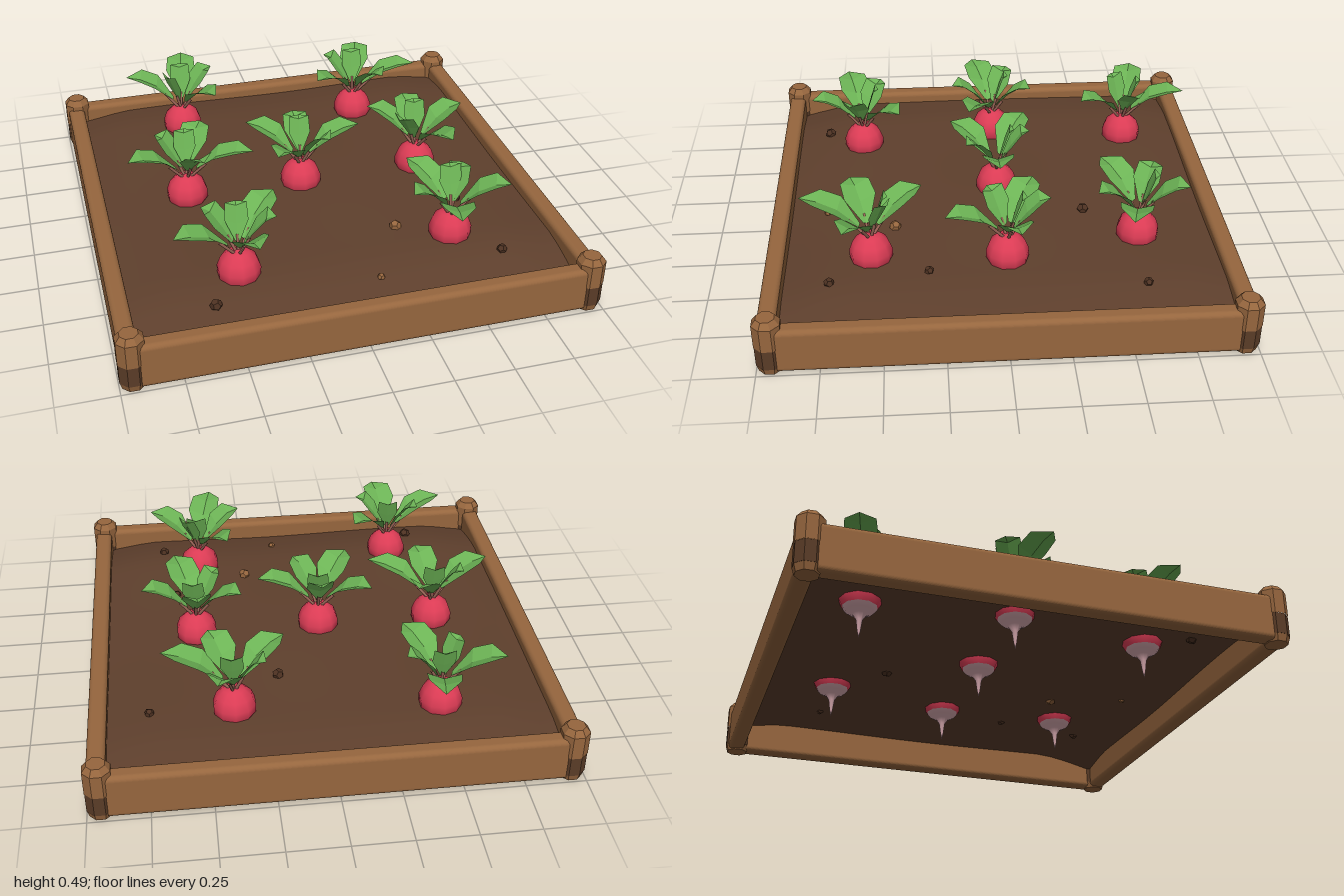
import * as THREE from 'three';

const mat = (name, color, extra = {}) => {
  const m = new THREE.MeshStandardMaterial({ color, ...extra });
  m.name = name;
  return m;
};

// Soil surface: a gentle mound that sinks towards the frame, a little more at the front
const soilHeight = (x, z) => {
  const edge = Math.max(0, Math.abs(x) - 0.72) / 0.2;
  const back = Math.max(0, -z - 0.75) / 0.2;
  const front = Math.max(0, z - 0.62) / 0.3;
  return 0.18 + 0.006 * Math.sin(x * 5 + 1) * Math.cos(z * 4)
    - 0.03 * Math.min(1, edge) - 0.03 * Math.min(1, back) - 0.06 * Math.min(1, front) ** 1.5;
};

// Folded leaf blade reaching from the crown to the tip (dx, dz)
function leafGeometry(dx, dz) {
  const len = Math.hypot(dx, dz);
  const ux = dx / len, uz = dz / len;
  const tipY = 0.44 + 0.06 * Math.max(0, 1 - len / 0.28);
  const w = 0.5 + 0.5 * Math.min(1, len / 0.22);
  const rows = [[0.15, 0.33, 0.015], [0.45, 0.4, 0.07], [0.74, tipY - 0.01, 0.064], [1, tipY, 0]];
  const pos = [], idx = [];
  rows.forEach(([f, y, half], i) => {
    for (const s of [-1, 0, 1]) {
      const h = s * half * w;
      pos.push(ux * len * f - uz * h, y + Math.abs(h) * 0.35, uz * len * f + ux * h);
    }
    if (i) for (const k of [0, 1]) {
      const a = (i - 1) * 3 + k, b = a + 3;
      idx.push(a, a + 1, b, a + 1, b + 1, b);
    }
  });
  const g = new THREE.BufferGeometry();
  g.setAttribute('position', new THREE.Float32BufferAttribute(pos, 3));
  g.setIndex(idx);
  g.computeVertexNormals();
  return g;
}

// Rail with rounded long edges, running along x
function railGeometry(length) {
  const w = 0.038, h = 0.1, r = 0.022;
  const s = new THREE.Shape();
  s.absarc(w - r, h - r, r, 0, Math.PI / 2);
  s.absarc(r - w, h - r, r, Math.PI / 2, Math.PI);
  s.absarc(r - w, r - h, r, Math.PI, Math.PI * 1.5);
  s.absarc(w - r, r - h, r, Math.PI * 1.5, Math.PI * 2);
  s.closePath();
  const g = new THREE.ExtrudeGeometry(s, { depth: length, bevelEnabled: false, curveSegments: 4 });
  return g.translate(0, 0, -length / 2).rotateY(Math.PI / 2);
}

const lathe = (pts, sides) =>
  new THREE.LatheGeometry(pts.map(p => new THREE.Vector2(...p)), sides);

export function createModel() {
  const wood = mat('wood', 0x96663e);
  const facetedWood = wood.clone();
  facetedWood.flatShading = true;
  const darkWood = mat('dark wood', 0x5a3c27, { flatShading: true });
  const soil = mat('soil', 0x5f402d, { side: THREE.DoubleSide });
  const stone = mat('dark clod', 0x4e3222, { flatShading: true });
  const red = mat('radish red', 0xdc3c55);
  const pale = mat('root pink', 0xe0b0b6);
  const stalk = mat('stalk', 0x9c6658);
  const green = mat('leaf green', 0x6cb355, { side: THREE.DoubleSide, flatShading: true });

  const model = new THREE.Group();
  model.name = 'radishBed';
  const add = (parent, name, geo, material, x = 0, y = 0, z = 0) => {
    const m = new THREE.Mesh(geo, material);
    m.name = name;
    m.position.set(x, y, z);
    parent.add(m);
    return m;
  };

  // Four rails around the bed
  const rail = railGeometry(1.83);
  ['frontRail', 'leftRail', 'backRail', 'rightRail'].forEach((name, i) => {
    const a = i * Math.PI / 2;
    add(model, name, rail, wood, Math.sin(a) * 0.952, 0.105, Math.cos(a) * 0.952).rotation.y = a;
  });

  // Eight-sided corner posts with a darker foot
  const R = 0.055 / Math.cos(Math.PI / 8);
  const post = lathe([[R, 0.12], [R, 0.225], [R * 0.65, 0.25], [0, 0.25]], 8).rotateY(Math.PI / 8);
  const foot = lathe([[0, 0.03], [R * 0.97, 0.03], [R * 0.97, 0.12]], 8).rotateY(Math.PI / 8);
  const base = lathe([[0, 0], [R * 0.8, 0], [R * 0.95, 0.03]], 8).rotateY(Math.PI / 8);
  for (const x of [-0.945, 0.945]) for (const z of [-0.945, 0.945]) {
    add(model, 'cornerPost', post, facetedWood, x, 0, z);
    add(model, 'postFoot', foot, darkWood, x, 0, z);
    add(model, 'postBase', base, facetedWood, x, 0, z);
  }

  // Soil sheet
  const ground = new THREE.PlaneGeometry(1.85, 1.85, 24, 24).rotateX(-Math.PI / 2);
  const p = ground.attributes.position;
  for (let i = 0; i < p.count; i++) p.setY(i, soilHeight(p.getX(i), p.getZ(i)));
  ground.computeVertexNormals();
  add(model, 'soil', ground, soil);

  // Clods and pebbles: x, z, radius, light or dark
  [[0.74, -0.58, 0.02, 0], [0.19, -0.38, 0.026, 0], [0.27, 0.45, 0.026, 1], [0.6, 0.31, 0.02, 0],
    [0.65, 0.72, 0.022, 0], [0.11, 0.75, 0.016, 1], [-0.58, 0.77, 0.026, 0]].forEach(([x, z, r, light], i) => {
    add(model, 'clod', new THREE.DodecahedronGeometry(r), light ? facetedWood : stone,
      x, soilHeight(x, z) + r * 0.3, z).rotation.set(i, i * 2, 0);
  });

  // Radishes: position, then leaf tips relative to the crown
  const plants = [
    [-0.46, -0.65, [[0.05, -0.28], [-0.25, -0.07], [0.13, 0.22], [0.16, -0.05], [-0.08, 0.05]]],
    [0.39, -0.59, [[0.07, -0.2], [0.29, 0.07], [0.09, 0.19], [-0.22, 0.14], [-0.13, -0.08]]],
    [-0.55, -0.02, [[0.1, -0.18], [0.28, 0.12], [0.05, 0.19], [-0.26, 0.08], [-0.12, -0.08]]],
    [-0.03, -0.01, [[-0.22, -0.14], [0.27, 0.0], [0.1, 0.14], [-0.15, 0.2], [0, -0.15]]],
    [0.52, -0.02, [[-0.01, -0.18], [0.23, -0.04], [0.08, 0.26], [-0.11, 0.08], [-0.2, -0.12]]],
    [-0.45, 0.6, [[0.19, -0.18], [0.04, 0.23], [-0.27, 0.07], [0.15, 0.05], [-0.13, -0.09]]],
    [0.48, 0.55, [[-0.13, -0.22], [0.22, 0.1], [-0.07, 0.29], [-0.2, 0.08], [0.07, -0.08]]],
  ];
  const bulb = lathe([[0.074, 0.155], [0.09, 0.185], [0.091, 0.22], [0.076, 0.26], [0.045, 0.288], [0, 0.298]], 10);
  const root = lathe([[0, 0.02], [0.007, 0.05], [0.014, 0.1], [0.03, 0.125], [0.06, 0.138], [0.074, 0.155]], 10);
  for (const [x, z, tips] of plants) {
    const plant = new THREE.Group();
    plant.name = 'radish';
    plant.position.set(x, 0, z);
    model.add(plant);
    add(plant, 'bulb', bulb, red);
    add(plant, 'root', root, pale);
    for (const [dx, dz] of [...tips, [0.01, -0.08]]) {
      add(plant, 'leaf', leafGeometry(dx, dz), green);
      const stem = new THREE.LineCurve3(
        new THREE.Vector3(dx * 0.04, 0.28, dz * 0.04), new THREE.Vector3(dx * 0.3, 0.36, dz * 0.3));
      add(plant, 'stalk', new THREE.TubeGeometry(stem, 1, 0.007, 5), stalk);
    }
  }
  return model;
}
